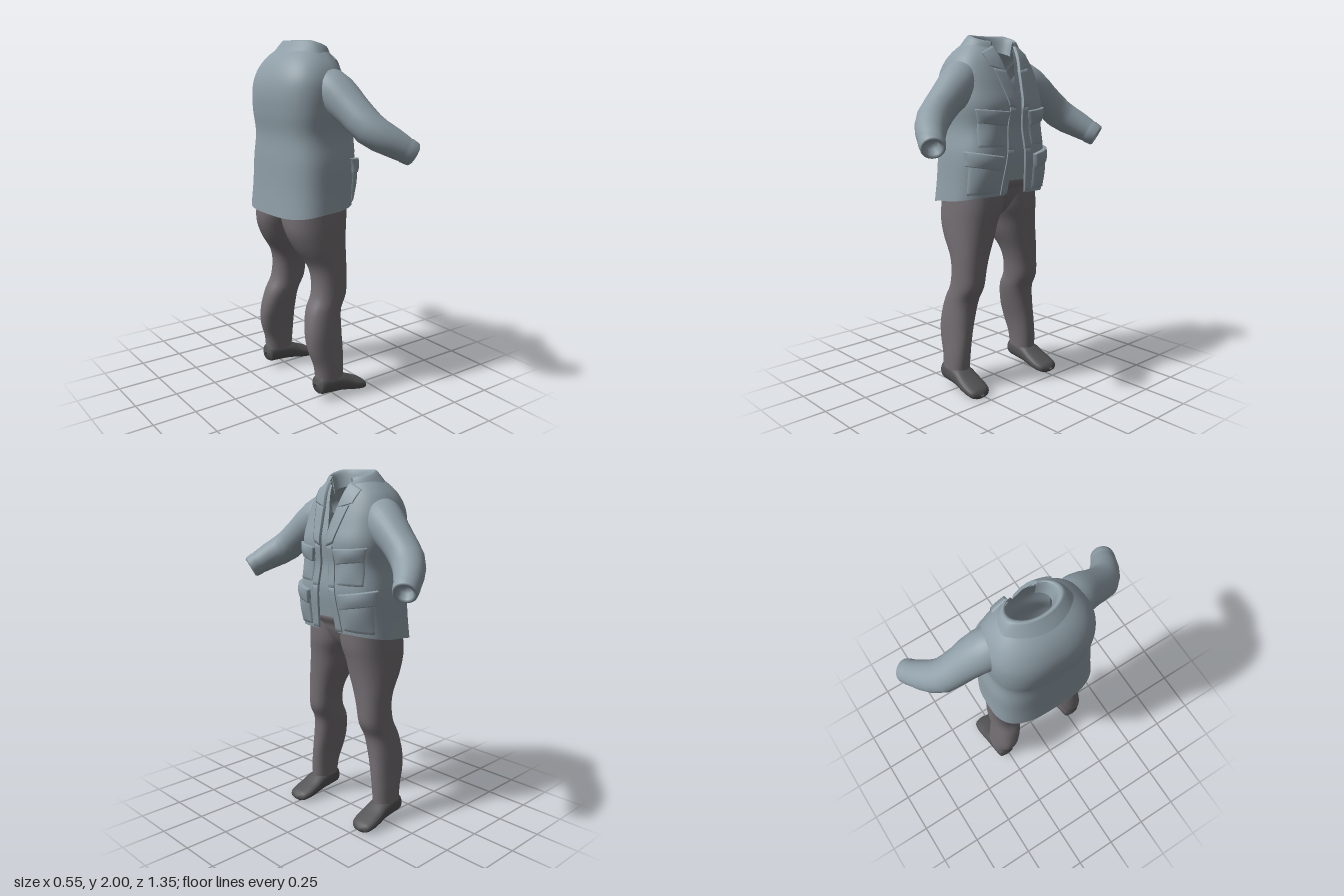
import * as THREE from 'three';

const mat = (name, color) => new THREE.MeshStandardMaterial({ name, color, side: THREE.DoubleSide });
const lerp = THREE.MathUtils.lerp;

// Smooth lookup in a table whose first column rises
function sample(t, k) {
  k = Math.min(Math.max(k, t[0][0]), t[t.length - 1][0]);
  let i = 0;
  while (i < t.length - 2 && k > t[i + 1][0]) i++;
  const h = t[i + 1][0] - t[i][0], f = (k - t[i][0]) / h;
  const slope = (j, c) => {
    const a = t[Math.max(j - 1, 0)], b = t[Math.min(j + 1, t.length - 1)];
    return (b[c] - a[c]) / (b[0] - a[0]);
  };
  return t[i].slice(1).map((p, j) => {
    const c = j + 1, f2 = f * f, f3 = f2 * f;
    return (2 * f3 - 3 * f2 + 1) * p + (f3 - 2 * f2 + f) * h * slope(i, c)
      + (3 * f2 - 2 * f3) * t[i + 1][c] + (f3 - f2) * h * slope(i + 1, c);
  });
}

// Surface from fn(u, v) -> [x, y, z]; closed joins u = 1 to u = 0
function grid(nu, nv, fn, closed = false) {
  const pos = [], idx = [], w = closed ? nu : nu + 1;
  for (let j = 0; j <= nv; j++) for (let i = 0; i < w; i++) pos.push(...fn(i / nu, j / nv));
  for (let j = 0; j < nv; j++) for (let i = 0; i < nu; i++) {
    const a = j * w + i, b = j * w + (i + 1) % w;
    idx.push(a, a + w, b, b, a + w, b + w);
  }
  const g = new THREE.BufferGeometry();
  g.setAttribute('position', new THREE.Float32BufferAttribute(pos, 3));
  g.setIndex(idx);
  g.computeVertexNormals();
  return g;
}

// Superellipse point between [p0, p1] and [q0, q1]
function oval(a, p0, p1, q0, q1, n) {
  const f = (c) => Math.sign(c) * Math.abs(c) ** (2 / n);
  return [(p0 + p1) / 2 + (p1 - p0) / 2 * f(Math.cos(a)), (q0 + q1) / 2 + (q1 - q0) / 2 * f(Math.sin(a))];
}

// Jacket: y, back x, front x, half width, squareness
const BODY = [
  [1.05, -0.262, 0.165, 0.322, 3], [1.2, -0.252, 0.185, 0.31, 3], [1.36, -0.248, 0.205, 0.3, 3],
  [1.5, -0.245, 0.192, 0.278, 2.9], [1.62, -0.262, 0.202, 0.288, 2.8], [1.72, -0.268, 0.175, 0.29, 2.6],
  [1.8, -0.256, 0.148, 0.28, 2.5], [1.87, -0.225, 0.122, 0.248, 2.4], [1.92, -0.185, 0.095, 0.205, 2.3],
  [1.965, -0.125, 0.065, 0.155, 2.2]];
// Half width of the open front at each height
const GAP = [[1.1, 0.085], [1.25, 0.06], [1.4, 0.052], [1.6, 0.03], [1.75, 0.045], [1.9, 0.085], [1.965, 0.09]];
const NECK = [[1.1, 0], [1.68, 0.001], [1.8, 0.03], [1.92, 0.07]];

function shell(gaps, hem, top, inset) {
  return grid(72, 48, (u, v) => {
    const y = lerp(hem(2 * Math.PI * u), top, v);
    const [xb, xf, rz, n] = sample(BODY, y);
    const a0 = Math.asin((Math.max(sample(gaps, y)[0], 0) / rz) ** (n / 2));
    const a = lerp(a0, 2 * Math.PI - a0, u);
    const [x, z] = oval(a, xb + inset, xf - inset, inset - rz, rz - inset, n);
    return [x, y, z];
  });
}

// Raised panel on the jacket front; corners are [z, y]: top inner, top outer, bottom inner, bottom outer
function panel(s, [ti, to, bi, bo], depth, bulge = 0) {
  return grid(16, 14, (u, v) => {
    const edge = u === 0 || u === 1 || v === 0 || v === 1;
    const q = (t) => THREE.MathUtils.clamp((t - 1 / 16) / (14 / 16), 0, 1); // outer rows form the rim
    const p = q(u), r = q(v);
    const z = lerp(lerp(ti[0], to[0], p), lerp(bi[0], bo[0], p), r);
    const y = lerp(lerp(ti[1], to[1], p), lerp(bi[1], bo[1], p), r);
    const [xb, xf, rz, n] = sample(BODY, y);
    const a = Math.asin(Math.min(z / rz, 0.985) ** (n / 2));
    const [x, zz] = oval(a, xb, xf, -rz, rz, n);
    const d = edge ? -0.006 : depth + bulge * Math.sin(Math.PI * p) * Math.sin(Math.PI * r);
    return [x + d * Math.cos(a), y, s * (zz + d * Math.sin(a))];
  });
}

// Tube of varying radius; rings are [position along curve, radius]
function sleeve(s) {
  const curve = new THREE.CatmullRomCurve3([
    [-0.035, 1.8, 0.17], [0.01, 1.71, 0.29], [0.035, 1.625, 0.4], [0.065, 1.55, 0.485], [0.15, 1.485, 0.565], [0.24, 1.425, 0.62],
  ].map(([x, y, z]) => new THREE.Vector3(x, y, z * s)));
  const rings = [[0, 0.08], [0.1, 0.105], [0.2, 0.108], [0.3, 0.102], [0.4, 0.094], [0.5, 0.091], [0.6, 0.09], [0.7, 0.085],
    [0.8, 0.078], [0.9, 0.069], [0.925, 0.066], [0.93, 0.069], [0.99, 0.064], [1, 0.056], [0.99, 0.042], [0.93, 0.036], [0.925, 0.001]];
  return grid(28, rings.length - 1, (u, v) => {
    const [t, r] = rings[Math.round(v * (rings.length - 1))], a = 2 * Math.PI * u;
    const tan = curve.getTangentAt(t);
    const n = new THREE.Vector3(0, 1, 0).addScaledVector(tan, -tan.y).normalize();
    const b = new THREE.Vector3().crossVectors(tan, n);
    return curve.getPointAt(t).addScaledVector(n, r * Math.cos(a)).addScaledVector(b, r * Math.sin(a)).toArray();
  }, true);
}

// Trouser leg: y, back x, front x, inner z, outer z
const LEG = [
  [0.12, -0.115, 0.055, 0.205, 0.328], [0.2, -0.125, 0.06, 0.2, 0.325], [0.3, -0.158, 0.062, 0.185, 0.318],
  [0.4, -0.165, 0.06, 0.16, 0.312], [0.52, -0.14, 0.068, 0.132, 0.3], [0.6, -0.102, 0.105, 0.125, 0.295],
  [0.7, -0.092, 0.112, 0.11, 0.292], [0.78, -0.112, 0.115, 0.085, 0.292], [0.88, -0.18, 0.122, 0.04, 0.292],
  [0.97, -0.222, 0.132, 0.012, 0.288], [1.05, -0.232, 0.145, -0.02, 0.283], [1.18, -0.225, 0.147, -0.03, 0.272]];
// Hips: y, back x, front x, half width
const HIPS = [[1, -0.1, 0.05, 0.05], [1.03, -0.15, 0.085, 0.12], [1.08, -0.2, 0.118, 0.24], [1.15, -0.222, 0.143, 0.275],
  [1.23, -0.22, 0.143, 0.265], [1.25, -0.04, -0.04, 0]];
// Shoe: x, bottom, top, inner z, outer z
const SHOE = [[-0.125, 0.075, 0.095, 0.25, 0.28], [-0.115, 0.043, 0.135, 0.222, 0.315], [-0.06, 0.034, 0.148, 0.21, 0.328],
  [0.03, 0.028, 0.135, 0.2, 0.338], [0.1, 0.015, 0.098, 0.196, 0.346], [0.16, 0.006, 0.07, 0.2, 0.346],
  [0.198, 0.004, 0.05, 0.222, 0.33], [0.21, 0.018, 0.03, 0.265, 0.29]];
// Collar, from inside to outside: step, y, back x, front x, half width, forward drop
const COLLAR = [[0, 1.91, -0.075, 0.075, 0.105, 0.3], [1, 1.985, -0.09, 0.08, 0.126, 0.3], [2, 2, -0.107, 0.086, 0.145, 0.32],
  [3, 1.985, -0.122, 0.095, 0.165, 0.36], [4, 1.935, -0.165, 0.112, 0.195, 0.42]];

export function createModel() {
  const root = new THREE.Group();
  root.name = 'outfit';
  const cloth = mat('blue grey cloth', 0x8f9ea7);
  const trouser = mat('warm grey trousers', 0x736e72);
  const leather = mat('dark grey shoes', 0x535254);
  const add = (name, geo, m) => {
    const mesh = new THREE.Mesh(geo, m);
    mesh.name = name;
    root.add(mesh);
  };

  add('jacketBody', shell(GAP, (a) => 1.095 + 0.035 * Math.cos(a), 1.965, 0), cloth);
  add('shirt', shell(NECK, (a) => 1.18 + 0.03 * Math.max(0, Math.cos(a)) ** 20, 1.92, 0.014), cloth);
  add('collar', grid(48, 16, (u, v) => {
    const [y, xb, xf, rz, drop] = sample(COLLAR, v * 4);
    const a = lerp(0.6, 2 * Math.PI - 0.6, u);
    const [x, z] = oval(a, xb, xf, -rz, rz, 2.1);
    return [x, y - drop * Math.max(0, x + 0.06), z];
  }), cloth);
  add('hips', grid(48, 25, (u, v) => {
    const y = lerp(1, 1.25, v), [xb, xf, rz] = sample(HIPS, y);
    const [x, z] = oval(2 * Math.PI * u, xb, xf, -rz, rz, 2.5);
    return [x, y, z];
  }, true), trouser);

  for (const s of [1, -1]) {
    const side = s > 0 ? 'left' : 'right';
    add(side + 'Sleeve', sleeve(s), cloth);
    add(side + 'UpperLapel', panel(s, [[0.08, 1.94], [0.16, 1.9], [0.05, 1.8], [0.14, 1.83]], 0.01), cloth);
    add(side + 'LowerLapel', panel(s, [[0.05, 1.81], [0.125, 1.82], [0.024, 1.6], [0.07, 1.62]], 0.01), cloth);
    // Front edge in two lengths that follow the opening
    add(side + 'UpperFrontBand', panel(s, [[0.023, 1.61], [0.065, 1.61], [0.042, 1.38], [0.085, 1.38]], 0.006), cloth);
    add(side + 'LowerFrontBand', panel(s, [[0.042, 1.385], [0.085, 1.385], [0.07, 1.135], [0.115, 1.135]], 0.006), cloth);
    add(side + 'ChestPocket', panel(s, [[0.08, 1.56], [0.235, 1.57], [0.1, 1.4], [0.245, 1.4]], 0.003, 0.012), cloth);
    add(side + 'ChestFlap', panel(s, [[0.07, 1.59], [0.25, 1.605], [0.09, 1.51], [0.235, 1.53]], 0.014, 0.008), cloth);
    add(side + 'HipPocket', panel(s, [[0.12, 1.33], [0.28, 1.34], [0.13, 1.15], [0.285, 1.14]], 0.008, 0.014), cloth);
    add(side + 'HipFlap', panel(s, [[0.115, 1.35], [0.287, 1.38], [0.125, 1.27], [0.287, 1.3]], 0.02, 0.006), cloth);
    add(side + 'Leg', grid(36, 44, (u, v) => {
      const y = lerp(0.12, 1.18, v), [xb, xf, zi, zo] = sample(LEG, y);
      const [x, z] = oval(2 * Math.PI * u, xb, xf, zi, zo, 2.3);
      return [x, y, s * z];
    }, true), trouser);
    add(side + 'Shoe', grid(28, 32, (u, v) => {
      const x = lerp(-0.125, 0.21, v), [yb, yt, zi, zo] = sample(SHOE, x);
      const [y, z] = oval(2 * Math.PI * u, yb, yt, zi, zo, 2.4);
      return [x, y, s * z];
    }, true), leather);
  }
  return root;
}
